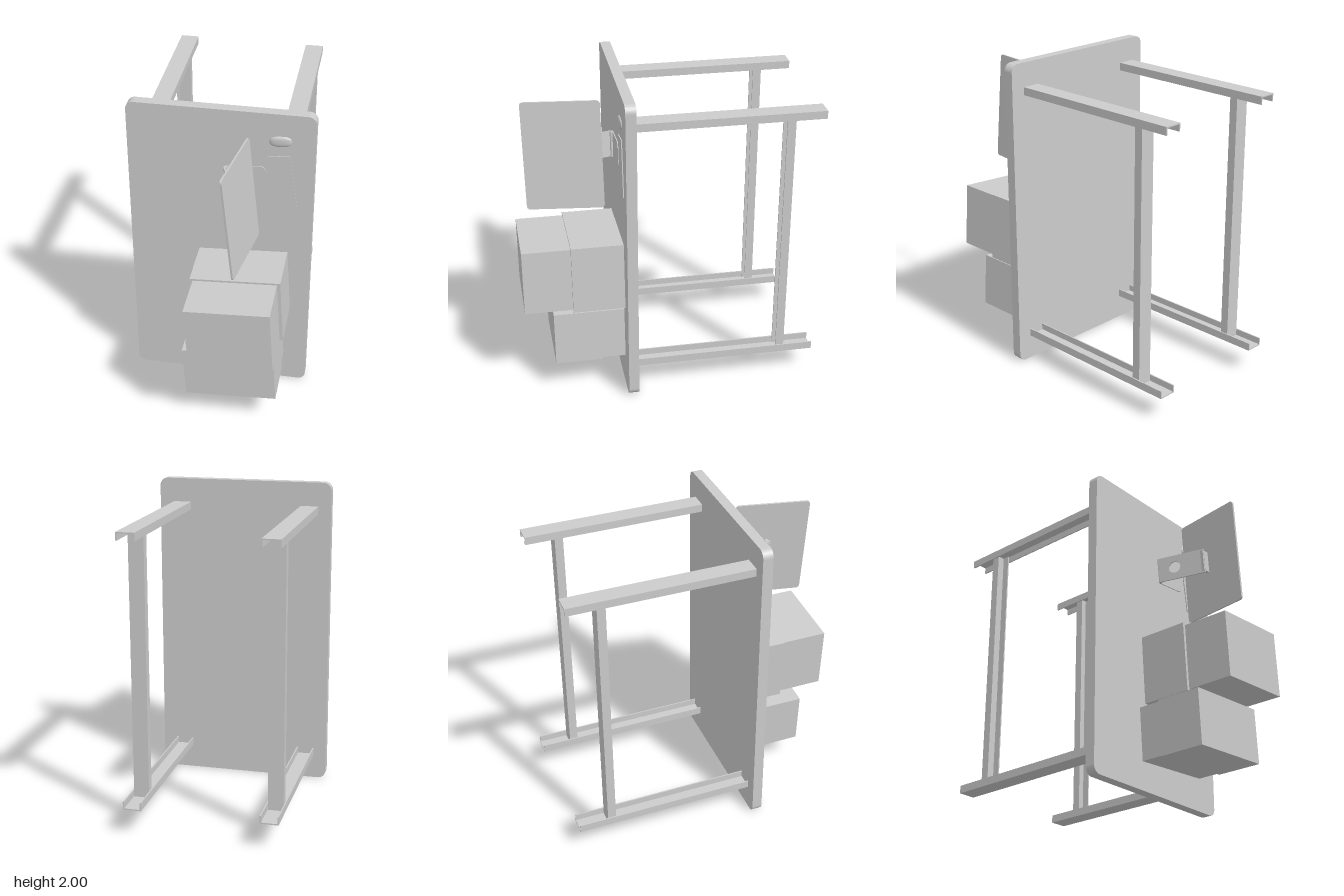
import * as THREE from 'three';

const material = new THREE.MeshStandardMaterial({ color: 0xcccccc, flatShading: true });
const smooth = new THREE.MeshStandardMaterial({ color: 0xcccccc });

function add(parent, name, geometry, x, y, z, mat = material) {
  const mesh = new THREE.Mesh(geometry, mat);
  mesh.name = name;
  mesh.position.set(x, y, z);
  parent.add(mesh);
  return mesh;
}

// Rounded rectangle centred on the origin
function roundedRect(w, h, r) {
  const s = new THREE.Shape();
  const a = w / 2, b = h / 2;
  s.moveTo(-a + r, -b);
  s.lineTo(a - r, -b);
  s.absarc(a - r, -b + r, r, -Math.PI / 2, 0);
  s.lineTo(a, b - r);
  s.absarc(a - r, b - r, r, 0, Math.PI / 2);
  s.lineTo(-a + r, b);
  s.absarc(-a + r, b - r, r, Math.PI / 2, Math.PI);
  s.lineTo(-a, -b + r);
  s.absarc(-a + r, -b + r, r, Math.PI, Math.PI * 1.5);
  return s;
}

function extrude(shape, depth) {
  return new THREE.ExtrudeGeometry(shape, { depth, bevelEnabled: false, curveSegments: 8 });
}

// U-section with its web along y = 0 and flanges pointing down
function channel(w, h, t, length) {
  const a = w / 2;
  const points = [[-a, 0], [-a, -h], [-a + t, -h], [-a + t, -t], [a - t, -t], [a - t, -h], [a, -h], [a, 0]];
  return extrude(new THREE.Shape(points.map(p => new THREE.Vector2(...p))), length);
}

export function createModel() {
  const model = new THREE.Group();
  model.name = 'deskOnItsSide';

  // Upright table top
  add(model, 'tableTop', extrude(roundedRect(1.13, 2, 0.05), 0.065), 0, 1, 0.235);

  // Two leg frames: channel legs joined by a channel beam
  for (const x of [-0.426, 0.415]) {
    const frame = new THREE.Group();
    frame.name = 'legFrame';
    frame.position.x = x;
    model.add(frame);
    add(frame, 'upperLeg', channel(0.114, 0.05, 0.008, 1.157), 0, 1.848, -0.922);
    const lower = add(frame, 'lowerLeg', channel(0.114, 0.05, 0.008, 1.157), 0, 0.16, -0.922);
    lower.rotation.z = Math.PI;
    const beam = add(frame, 'crossBeam', channel(0.096, 0.053, 0.008, 1.672), 0, 0.168, -0.735);
    beam.rotation.x = -Math.PI / 2;
  }

  // Stacked boxes: centre x, centre y, width, height, back z, front z
  const boxes = [
    ['computerBase', 0.157, 0.796, 0.556, 0.438, 0.30, 0.625],
    ['computerMonitor', 0.156, 0.795, 0.516, 0.415, 0.625, 0.925],
    ['smallBoxBase', 0.13, 0.368, 0.555, 0.338, 0.30, 0.447],
    ['smallBoxTop', 0.13, 0.368, 0.573, 0.35, 0.447, 0.747],
  ];
  for (const [name, x, y, w, h, z0, z1] of boxes) {
    const box = add(model, name, new THREE.BoxGeometry(w, h, z1 - z0), x, y, (z0 + z1) / 2);
    box.rotation.z = 0.063;
  }

  // Thin flat screen, leaning and turned
  const screen = add(model, 'flatScreen', extrude(roundedRect(0.478, 0.683, 0.022).clone(), 0.012), 0.17, 1.546, 0.627);
  const normal = new THREE.Vector3(1, 0.095, 0.17).normalize();
  const up = new THREE.Vector3(-0.095, 1, 0.012);
  up.addScaledVector(normal, -up.dot(normal)).normalize();
  const side = new THREE.Vector3().crossVectors(up, normal);
  screen.quaternion.setFromRotationMatrix(new THREE.Matrix4().makeBasis(side, up, normal));

  // Screen stand: flat foot, rounded bend and sloping strip with a cable hole
  const stand = new THREE.Group();
  stand.name = 'screenStand';
  stand.position.set(0.032, 1.54, 0.3);
  stand.rotation.z = 0.095;
  model.add(stand);
  add(stand, 'standFoot', extrude(roundedRect(0.24, 0.165, 0.04), 0.006), 0.13, 0, 0);
  add(stand, 'footHeel', new THREE.BoxGeometry(0.06, 0.165, 0.006), 0.045, 0, 0.003);
  add(stand, 'standBend', new THREE.CylinderGeometry(0.011, 0.011, 0.165, 12), 0.012, 0, 0.011);
  const strip = new THREE.Shape();
  strip.moveTo(0, -0.0825);
  strip.lineTo(0.315, -0.0825);
  strip.lineTo(0.315, 0.0825);
  strip.lineTo(0, 0.0825);
  const hole = new THREE.Path();
  hole.absarc(0.11, 0, 0.04, 0, Math.PI * 2, true);
  strip.holes.push(hole);
  const riser = add(stand, 'standRiser', extrude(strip, 0.01), 0.006, 0, 0.01);
  riser.rotation.y = -1.25;
  add(stand, 'screenMount', new THREE.BoxGeometry(0.06, 0.14, 0.02), 0.117, 0, 0.3);

  // Slim keyboard
  const keyboard = add(model, 'keyboard', new THREE.BoxGeometry(0.133, 0.355, 0.006), 0.377, 1.546, 0.303);
  keyboard.rotation.z = 0.14;

  // Low domed mouse with a squarish outline
  const dome = new THREE.SphereGeometry(1, 24, 16);
  const p = dome.attributes.position;
  const squash = v => Math.sign(v) * Math.pow(Math.abs(v), 0.75);
  for (let i = 0; i < p.count; i++) {
    p.setXYZ(i, squash(p.getX(i)) * 0.066, squash(p.getY(i)) * 0.034, p.getZ(i) * 0.014);
  }
  dome.computeVertexNormals();
  const mouse = add(model, 'mouse', dome, 0.358, 1.821, 0.3, smooth);
  mouse.rotation.z = 0.06;

  return model;
}
